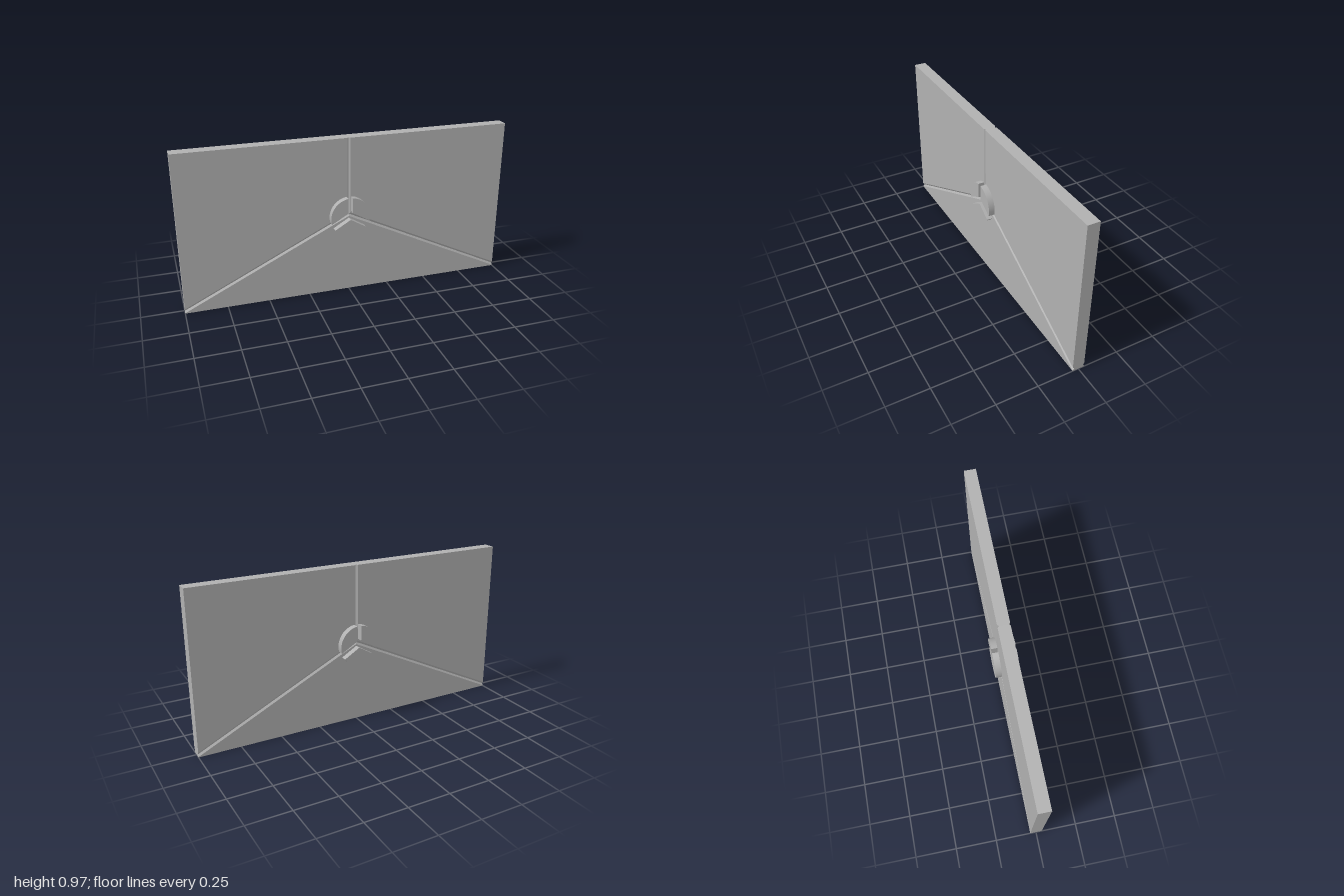
import * as THREE from 'three';

const HALF = 0.036;   // half thickness of the plate
const GROOVE = 0.009; // depth of the V grooves
const HUB = { y: 0.4925, r: 0.12, half: 0.073 };

// Mirror a counter-clockwise outline across x = 0, keeping its winding
const mirror = (pts) => pts.map(([x, y]) => [-x, y]).reverse();

// Panel lofted through four outlines; the outer ones are inset to chamfer the groove edges
function panelGeometry(face, floor) {
  const rings = [[face, -HALF], [floor, -HALF + GROOVE], [floor, HALF - GROOVE], [face, HALF]]
    .map(([pts, z]) => pts.map(([x, y]) => [x, y, z]));
  const n = face.length;
  const out = [];
  const tri = (a, b, c) => out.push(...a, ...b, ...c);
  for (let k = 0; k < 3; k++) {
    for (let i = 0; i < n; i++) {
      const j = (i + 1) % n;
      tri(rings[k][i], rings[k][j], rings[k + 1][j]);
      tri(rings[k][i], rings[k + 1][j], rings[k + 1][i]);
    }
  }
  for (let i = 1; i < n - 1; i++) {
    tri(rings[3][0], rings[3][i], rings[3][i + 1]);
    tri(rings[0][0], rings[0][i + 1], rings[0][i]);
  }
  const g = new THREE.BufferGeometry();
  g.setAttribute('position', new THREE.Float32BufferAttribute(out, 3));
  g.computeVertexNormals();
  return g;
}

// Hub sector: an inner corner joined to an arc of the hub circle
function sectorGeometry(corner, from, to) {
  const s = new THREE.Shape();
  s.moveTo(...corner);
  s.lineTo(HUB.r * Math.cos(from), HUB.y + HUB.r * Math.sin(from));
  s.absarc(0, HUB.y, HUB.r, from, to, false);
  s.closePath();
  const g = new THREE.ExtrudeGeometry(s, { depth: 2 * HUB.half, bevelEnabled: false, curveSegments: 32 });
  return g.translate(0, 0, -HUB.half);
}

export function createModel() {
  const group = new THREE.Group();
  const grey = new THREE.MeshStandardMaterial({ color: 0xb0b0b0 });
  grey.name = 'plain grey';
  const add = (name, geometry) => {
    const mesh = new THREE.Mesh(geometry, grey);
    mesh.name = name;
    group.add(mesh);
  };

  // Three panels meeting at the groove floors
  const upperFace = [[0.01, 0.508], [1, 0.0275], [1, 0.97], [0.01, 0.97]];
  const upperFloor = [[0, 0.5], [1, 0.015], [1, 0.97], [0, 0.97]];
  add('upperLeftPanel', panelGeometry(upperFace, upperFloor));
  add('upperRightPanel', panelGeometry(mirror(upperFace), mirror(upperFloor)));
  add('lowerPanel', panelGeometry(
    [[-1, 0], [1, 0], [1, 0.0025], [0, 0.4875], [-1, 0.0025]],
    [[-1, 0], [1, 0], [1, 0.015], [0, 0.5], [-1, 0.015]]));

  // Three raised hub sectors, standing out on both sides
  const low = Math.asin((0.46 - HUB.y) / HUB.r);
  const high = Math.acos(0.013 / HUB.r);
  const base = Math.asin((0.42 - HUB.y) / HUB.r);
  add('upperLeftHubSector', sectorGeometry([0.013, 0.519], low, high));
  add('upperRightHubSector', sectorGeometry([-0.013, 0.519], Math.PI - high, Math.PI - low));
  add('lowerHubSector', sectorGeometry([0, 0.477], -Math.PI - base, base));

  return group;
}
